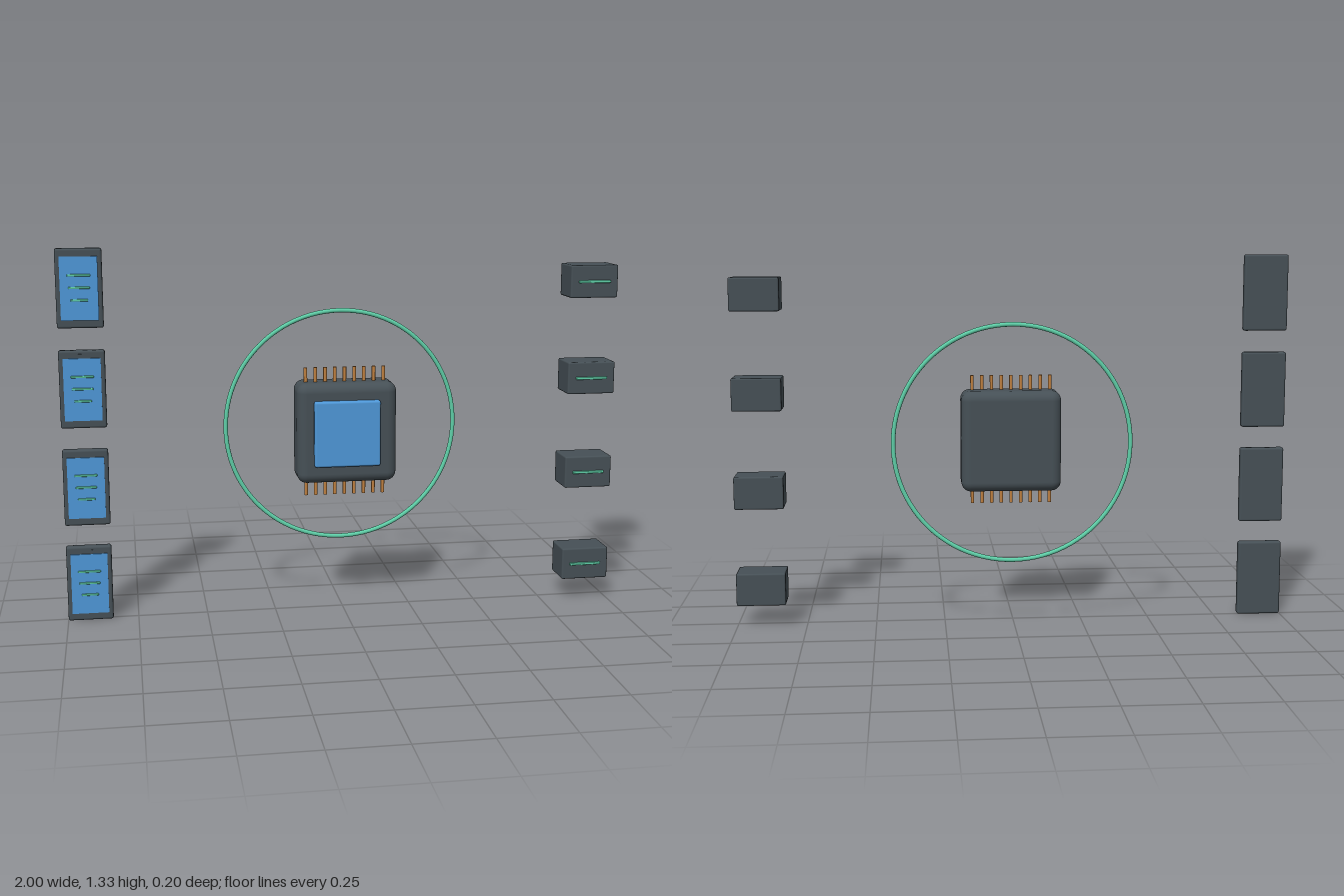
import * as THREE from 'three';
import { RoundedBoxGeometry } from 'three/addons/geometries/RoundedBoxGeometry.js';

const dark = new THREE.MeshStandardMaterial({ color: 0x465056 });
const blue = new THREE.MeshStandardMaterial({ color: 0x4f98d8 });
const green = new THREE.MeshStandardMaterial({ color: 0x5fcfa8 });
const copper = new THREE.MeshStandardMaterial({ color: 0xbf8040 });

function add(parent, name, geometry, material, x, y, z) {
  const mesh = new THREE.Mesh(geometry, material);
  mesh.name = name;
  mesh.position.set(x, y, z);
  parent.add(mesh);
  return mesh;
}

const rounded = (w, h, d, r, segments = 3) => new RoundedBoxGeometry(w, h, d, segments, r);

// Rounded block with a raised panel and a row of pins above and below
function createChip() {
  const chip = new THREE.Group();
  chip.name = 'chip';
  add(chip, 'chipBody', rounded(0.36, 0.364, 0.146, 0.035, 5), dark, 0, 0, 0.005);
  add(chip, 'chipPanel', rounded(0.238, 0.238, 0.04, 0.008), blue, -0.003, 0.002, 0.08);
  const pin = new THREE.CylinderGeometry(0.0065, 0.0065, 0.08, 10);
  for (const side of [-1, 1]) {
    for (let i = 0; i < 9; i++) {
      add(chip, 'pin', pin, copper, (i - 4) * 0.0353 - 0.003, side * 0.194, 0.018);
    }
  }
  return chip;
}

// Thin slab with a screen, three text bars and a speaker slot
function createHandset() {
  const handset = new THREE.Group();
  handset.name = 'handset';
  add(handset, 'handsetBody', rounded(0.16, 0.275, 0.032, 0.008), dark, 0, 0, 0.006);
  add(handset, 'handsetScreen', new THREE.BoxGeometry(0.13, 0.22, 0.01), blue, 0, 0, 0.022);
  add(handset, 'speakerSlot', new THREE.BoxGeometry(0.03, 0.004, 0.003), dark, 0, 0.123, 0.0225);
  [0.08, 0.074, 0.06].forEach((width, i) => {
    add(handset, 'screenBar', rounded(width, 0.008, 0.006, 0.0028, 2), green, 0, 0.046 - i * 0.043, 0.028);
  });
  return handset;
}

// Deep box with one lit strip on its front
function createServerBox() {
  const box = new THREE.Group();
  box.name = 'serverBox';
  add(box, 'serverBody', rounded(0.176, 0.118, 0.124, 0.006, 2), dark, 0, 0, 0.006);
  add(box, 'lightStrip', rounded(0.118, 0.01, 0.012, 0.003, 2), green, 0, 0, 0.069);
  return box;
}

export function createModel() {
  const model = new THREE.Group();
  model.name = 'networkHub';

  const chip = createChip();
  chip.position.set(0.008, 0.667, 0);
  model.add(chip);

  // Halo standing behind the chip
  add(model, 'halo', new THREE.TorusGeometry(0.424, 0.008, 12, 96), green, 0.008, 0.667, -0.092);

  // Handsets on one side, boxes on the other, in matching rows
  for (let i = 0; i < 4; i++) {
    const y = 0.138 + i * 0.3525;
    const handset = createHandset();
    handset.position.set(-0.92, y, 0);
    const box = createServerBox();
    box.position.set(0.912, y + 0.001, 0);
    model.add(handset, box);
  }
  return model;
}
